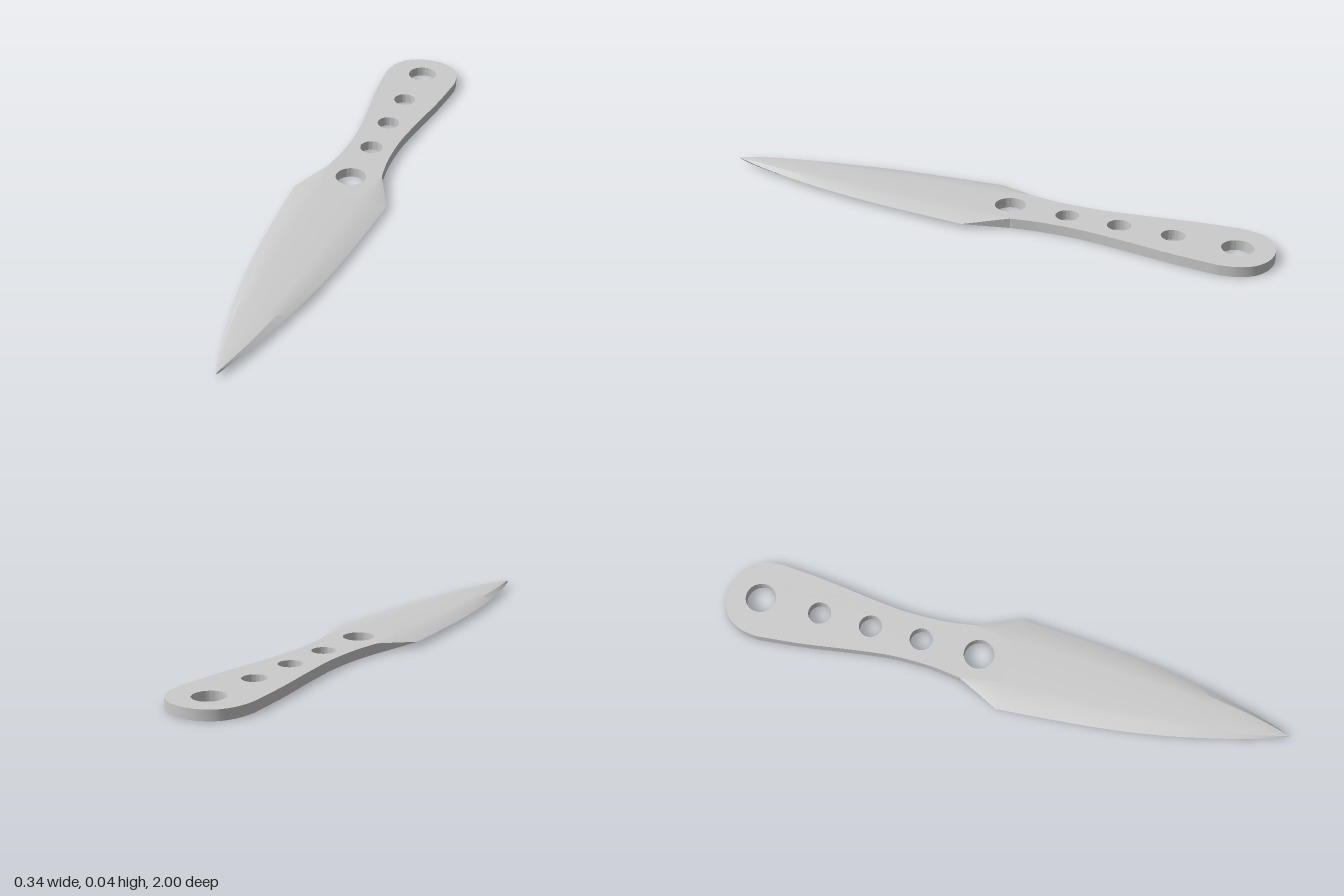
import * as THREE from 'three';
import { toCreasedNormals } from 'three/addons/utils/BufferGeometryUtils.js';

const T = 0.0175; // half thickness of the plate
const Z0 = -0.13, Z1 = 0.015; // start and end of the shoulders
const W = 0.17; // half width of the blade at the shoulders
const FLAT = 0.45, MID = 0.72, MID_T = 0.85; // cross-section of the blade, as fractions

// Skin closed rings of [x, y] points (counter-clockwise seen from +z) along z
function loft(sections) {
  const n = sections[0].ring.length;
  const pos = [], index = [];
  sections.forEach(({ z, ring }) => ring.forEach(([x, y]) => pos.push(x, y + T, z)));
  for (let i = 0; i < sections.length - 1; i++) {
    for (let j = 0; j < n; j++) {
      const a = i * n + j, b = i * n + (j + 1) % n;
      index.push(a, b, b + n, a, b + n, a + n);
    }
  }
  const geo = new THREE.BufferGeometry();
  geo.setAttribute('position', new THREE.Float32BufferAttribute(pos, 3));
  geo.setIndex(index);
  return toCreasedNormals(geo, 0.4);
}

export function createModel() {
  const group = new THREE.Group();
  const material = new THREE.MeshStandardMaterial({ color: 0xcccccc });
  const add = (name, geo) => {
    const mesh = new THREE.Mesh(geo, material);
    mesh.name = name;
    group.add(mesh);
  };
  const spline = (pts, n) =>
    new THREE.SplineCurve(pts.map(([x, z]) => new THREE.Vector2(x, z))).getPoints(n);
  const lerp = THREE.MathUtils.lerp;

  // Handle plate: half outline as [half width, z], mirrored
  const pommel = spline([[0, -1], [0.05, -0.992], [0.1, -0.962], [0.13, -0.91], [0.14, -0.85]], 20);
  const grip = spline([[0.14, -0.85], [0.125, -0.69], [0.102, -0.53], [0.086, -0.4],
    [0.083, -0.31], [0.087, -0.22], [0.1, Z0]], 30);
  const half = [...pommel, ...grip.slice(1), new THREE.Vector2(FLAT * W, Z1)];
  const shape = new THREE.Shape([
    ...half.map((p) => new THREE.Vector2(p.x, -p.y)),
    ...half.slice(1).reverse().map((p) => new THREE.Vector2(-p.x, -p.y)),
  ]);
  // Holes run the opposite way round to the outline
  for (const [z, r] of [[-0.88, 0.053], [-0.665, 0.04], [-0.48, 0.04], [-0.297, 0.04], [-0.09, 0.053]]) {
    shape.holes.push(new THREE.Path().absarc(0, -z, r, 0, Math.PI * 2, false));
  }
  const plate = new THREE.ExtrudeGeometry(shape, { depth: 2 * T, bevelEnabled: false, curveSegments: 32 });
  plate.rotateX(-Math.PI / 2);
  add('handle', toCreasedNormals(plate, 0.5));

  // Shoulders: flare from the full-height handle sides to the cutting edge
  const shoulder = [];
  for (let i = 0; i <= 8; i++) {
    const u = i / 8;
    const f = lerp(0.1, FLAT * W, u), m = lerp(0.1, MID * W, u), w = lerp(0.1, W, u);
    const mt = T * lerp(1, MID_T, u), e = T * (1 - u);
    shoulder.push({ z: lerp(Z0, Z1, u), ring: [[f, -T], [m, -mt], [w, -e], [w, e], [m, mt], [f, T]] });
  }
  add('leftShoulder', loft(shoulder));
  add('rightShoulder', loft(shoulder.map(({ z, ring }) => ({
    z, ring: ring.map(([x, y]) => [-x, y]).reverse(),
  }))));

  // Blade: flat centre with convex sides, narrowing and thinning to the tip
  const edge = spline([[W, Z1], [0.167, 0.06], [0.157, 0.2], [0.139, 0.4],
    [0.109, 0.6], [0.064, 0.8], [0.036, 0.9], [0, 1]], 42);
  const blade = edge.map(({ x: w, y: z }) => {
    const thin = Math.max(0, (z - 0.5) / 0.5);
    const t = T * Math.sqrt(Math.max(0, 1 - thin * thin));
    const f = FLAT * w, m = MID * w, mt = MID_T * t;
    return { z, ring: [[-f, -t], [f, -t], [m, -mt], [w, 0], [m, mt],
      [f, t], [-f, t], [-m, mt], [-w, 0], [-m, -mt]] };
  });
  add('blade', loft(blade));

  return group;
}
